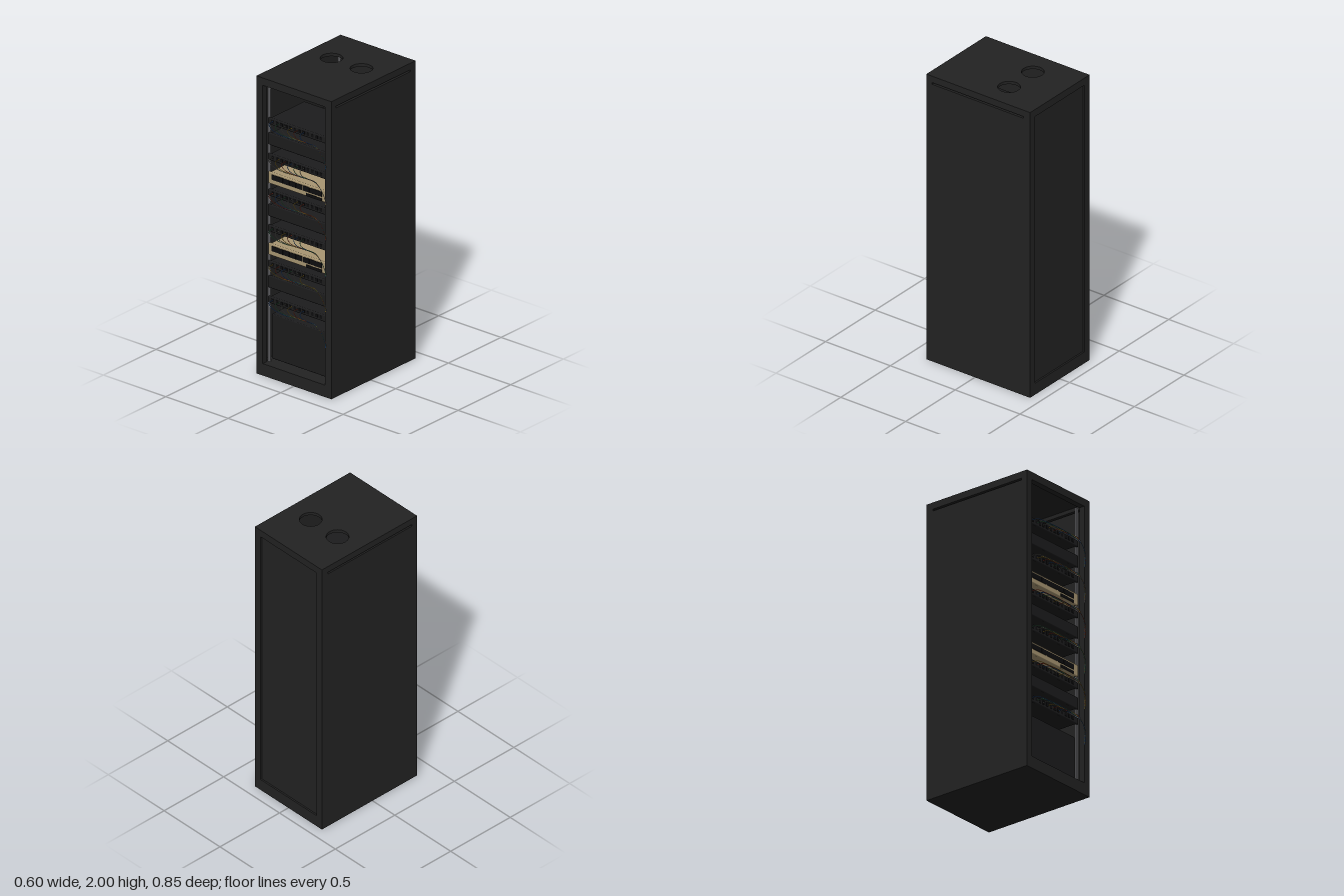
import * as THREE from 'three';
import { RoundedBoxGeometry } from 'three/addons/geometries/RoundedBoxGeometry.js';

const material = (name, color) => {
  const m = new THREE.MeshStandardMaterial({ color });
  m.name = name;
  return m;
};

export function createModel() {
  const root = new THREE.Group();
  root.name = 'serverRack';
  const body = material('cabinetBlack', 0x222222);
  const device = material('deviceBlack', 0x1c1c1d);
  const port = material('portBlack', 0x0e0e0f);
  const steel = material('railSteel', 0x77777b);
  const beige = material('switchBeige', 0xa89672);
  const cableColors = [
    material('cableBlue', 0x2f62a8),
    material('cableYellow', 0xc4a034),
    material('cableGreen', 0x4a8c60),
    material('cableRed', 0xb0452f),
    material('cableGrey', 0x85857c),
  ];

  const add = (name, geometry, mat, parent = root) => {
    const mesh = new THREE.Mesh(geometry, mat);
    mesh.name = name;
    parent.add(mesh);
    return mesh;
  };
  // Box from its limits on each axis; an optional radius rounds its edges
  const box = (name, mat, [x0, x1], [y0, y1], [z0, z1], parent = root, r = 0) => {
    const size = [x1 - x0, y1 - y0, z1 - z0];
    const g = r ? new RoundedBoxGeometry(...size, 2, r) : new THREE.BoxGeometry(...size);
    g.translate((x0 + x1) / 2, (y0 + y1) / 2, (z0 + z1) / 2);
    return add(name, g, mat, parent);
  };
  const rect = (x0, x1, y0, y1, Type = THREE.Shape) => new Type([
    new THREE.Vector2(x0, y0), new THREE.Vector2(x1, y0),
    new THREE.Vector2(x1, y1), new THREE.Vector2(x0, y1),
  ]);
  const extrude = (shape, depth) =>
    new THREE.ExtrudeGeometry(shape, { depth, bevelEnabled: false, curveSegments: 24 });

  // Front and back frames
  const frame = rect(-0.3, 0.3, 0, 2);
  frame.holes.push(rect(-0.25, 0.25, 0.08, 1.95, THREE.Path));
  add('frontFrame', extrude(frame, 0.04).translate(0, 0, 0.335), body);
  add('backFrame', extrude(frame, 0.04).translate(0, 0, -0.425), body);
  box('backPanel', body, [-0.255, 0.255], [0.075, 1.955], [-0.414, -0.4]);

  // Side walls with a long vent slot
  const wall = rect(-0.385, 0.335, 0, 2);
  wall.holes.push(rect(-0.375, 0.33, 1.943, 1.955, THREE.Path));
  for (const [name, x] of [['leftWall', 0.3], ['rightWall', -0.28]]) {
    add(name, extrude(wall, 0.02).rotateY(-Math.PI / 2).translate(x, 0, 0), body);
  }

  // Roof with two round openings, and the floor
  const roof = rect(-0.28, 0.28, -0.385, 0.335);
  for (const x of [-0.12, 0.12]) {
    roof.holes.push(new THREE.Path().absarc(x, -0.125, 0.07, 0, Math.PI * 2, true));
  }
  add('roof', extrude(roof, 0.02).rotateX(Math.PI / 2).translate(0, 2, 0), body);
  box('floor', body, [-0.28, 0.28], [0, 0.08], [-0.385, 0.335]);

  // Mounting rails, front and back
  for (const s of [-1, 1]) {
    for (const [name, z] of [['frontRail', 0.315], ['backRail', -0.35]]) {
      box(name, steel, [s * 0.241 - 0.008, s * 0.241 + 0.008], [0.08, 1.95], [z, z + 0.01]);
    }
  }

  // Power unit at the bottom
  box('powerUnit', device, [-0.23, 0.23], [0.1, 0.4], [-0.3, 0.315], root, 0.006);

  // Rack device: faceplate with ears and a body behind it
  const rackDevice = (name, mat, y0, y1, depth) => {
    const g = new THREE.Group();
    g.name = name;
    root.add(g);
    box('faceplate', mat, [-0.24, 0.24], [y0, y1], [0.322, 0.337], g, 0.007);
    box('chassis', mat, [-0.225, 0.225], [y0 + 0.003, y1 - 0.003], [0.33 - depth, 0.33], g);
    return g;
  };

  for (let row = 0; row < 6; row++) {
    // Patch panel with sockets and cables
    const y = 0.503 + row * 0.24;
    const panel = rackDevice('patchPanel', device, y - 0.023, y + 0.023, 0.32);
    for (let i = 0; i < 12; i++) {
      const x = -0.2 + i * 0.035;
      box('socket', port, [x - 0.01, x + 0.01], [y - 0.008, y + 0.012], [0.335, 0.339], panel);
    }
    for (let i = 0; i < 6; i++) {
      const x = -0.2 + i * 0.05;
      const t = (k) => x + (0.19 - x) * k;
      const bow = 0.424 - i * 0.003;
      const path = new THREE.CatmullRomCurve3([
        new THREE.Vector3(x, y + 0.004, 0.336),
        new THREE.Vector3(x + 0.002, y, 0.378),
        new THREE.Vector3(t(0.16), y - 0.014, bow - 0.015),
        new THREE.Vector3(t(0.4), y - 0.02 + i * 0.001, bow - 0.002),
        new THREE.Vector3(t(0.7), y - 0.02 + i * 0.001, 0.412),
        new THREE.Vector3(0.19, y - 0.031 + i * 0.001, 0.399),
        new THREE.Vector3(0.232, y - 0.07, 0.393),
        new THREE.Vector3(0.25, y - 0.125, 0.38),
        new THREE.Vector3(0.258, y - 0.178, 0.373),
      ]);
      add('cable', new THREE.TubeGeometry(path, 40, 0.002, 6), cableColors[(row + 2 * i) % 5], panel);
    }
    if (row === 5) continue;

    // Server or network switch above the panel
    const b = y + 0.079;
    if (row % 2 === 0) {
      rackDevice('server', device, b, b + 0.082, 0.6);
      continue;
    }
    const sw = rackDevice('networkSwitch', beige, b - 0.019, b + 0.061, 0.45);
    const edges = [-0.213, -0.118, -0.066, -0.013, 0.04, 0.095, 0.195];
    for (let i = 0; i < 6; i++) {
      box('portBlock', port, [edges[i] + 0.002, edges[i + 1] - 0.002], [b + 0.014, b + 0.048], [0.334, 0.34], sw);
    }
    box('uplinkBlock', port, [0.068, 0.192], [b - 0.015, b + 0.004], [0.334, 0.34], sw);
  }
  return root;
}
